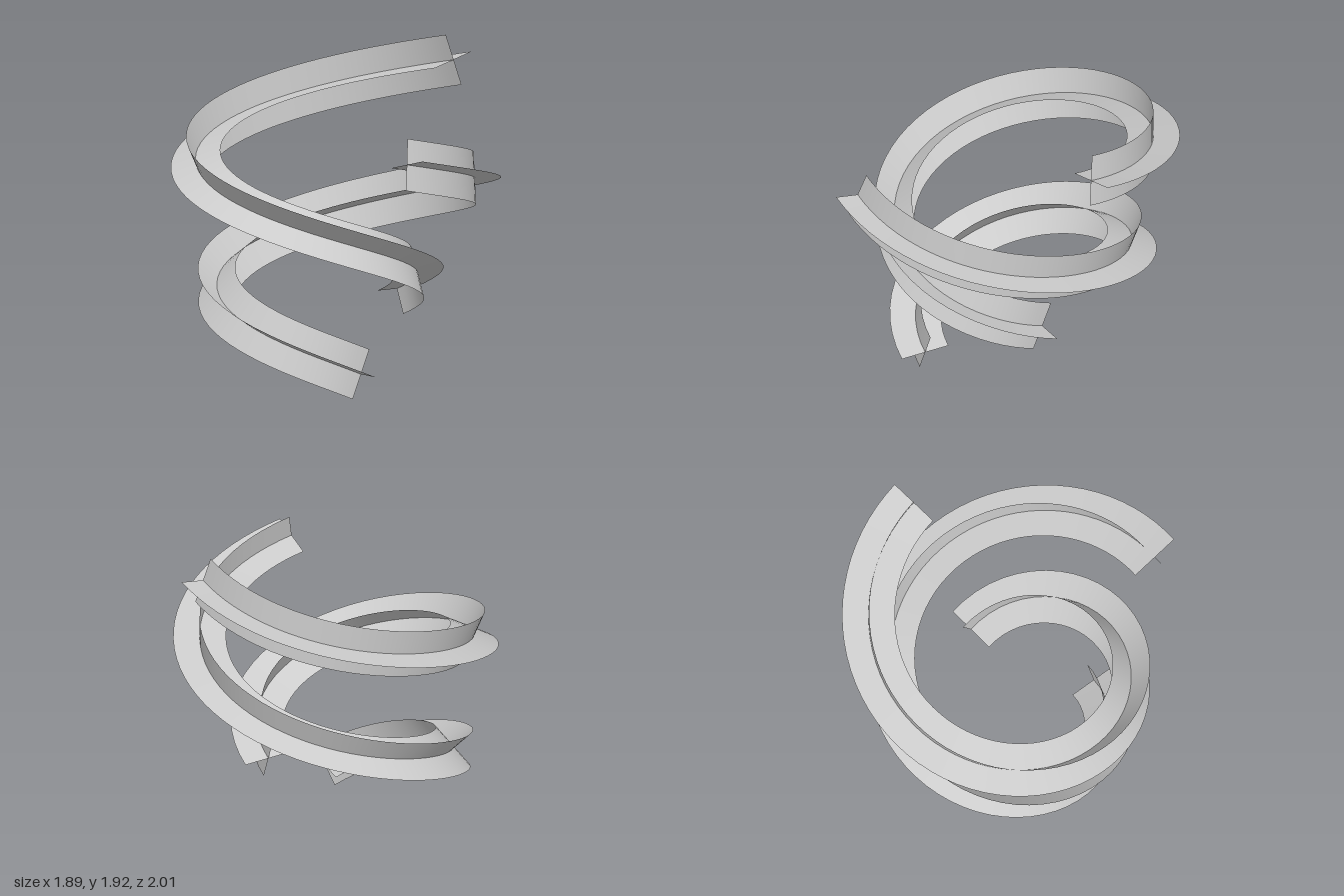
import * as THREE from 'three';

const HALF_WIDTH = 0.15;
const SEGMENTS = 64;
const AXIS = { x: -0.12, z: -0.055 };

// Widening helix that climbs around a vertical axis
class WideningHelix extends THREE.Curve {
  constructor(startAngle, startY) {
    super();
    this.startAngle = startAngle;
    this.startY = startY;
  }
  getPoint(t, target = new THREE.Vector3()) {
    const angle = this.startAngle + t * (2 * Math.PI - 0.095);
    const radius = 0.475 + 0.44 * t;
    return target.set(
      AXIS.x + radius * Math.cos(angle),
      this.startY + 1.265 * t,
      AXIS.z + radius * Math.sin(angle)
    );
  }
}

// Flat ribbon centred on the curve, spread along the given side vectors
function ribbon(curve, sides) {
  const geometry = new THREE.PlaneGeometry(1, 1, SEGMENTS, 2);
  const position = geometry.attributes.position;
  for (let row = 0; row <= 2; row++) {
    for (let i = 0; i <= SEGMENTS; i++) {
      const p = curve.getPointAt(i / SEGMENTS).addScaledVector(sides[i], (row - 1) * HALF_WIDTH);
      position.setXYZ(row * (SEGMENTS + 1) + i, p.x, p.y, p.z);
    }
  }
  geometry.computeVertexNormals();
  return geometry;
}

export function createModel() {
  const model = new THREE.Group();
  model.name = 'crossedSpirals';
  const material = new THREE.MeshStandardMaterial({ color: 0xcccccc, side: THREE.DoubleSide });

  // Each strand is a cross of two ribbons carried along the helix with its natural roll
  const addStrand = (name, startAngle, startY) => {
    const curve = new WideningHelix(startAngle, startY);
    const frames = curve.computeFrenetFrames(SEGMENTS, false);
    const strand = new THREE.Group();
    strand.name = name;
    for (const [part, sides] of [['flatRibbon', frames.normals], ['uprightRibbon', frames.binormals]]) {
      const mesh = new THREE.Mesh(ribbon(curve, sides), material);
      mesh.name = part;
      strand.add(mesh);
    }
    model.add(strand);
  };

  addStrand('lowerStrand', Math.PI / 2 + 0.215, 0.142);
  addStrand('upperStrand', 0.078, 0.52);
  return model;
}
